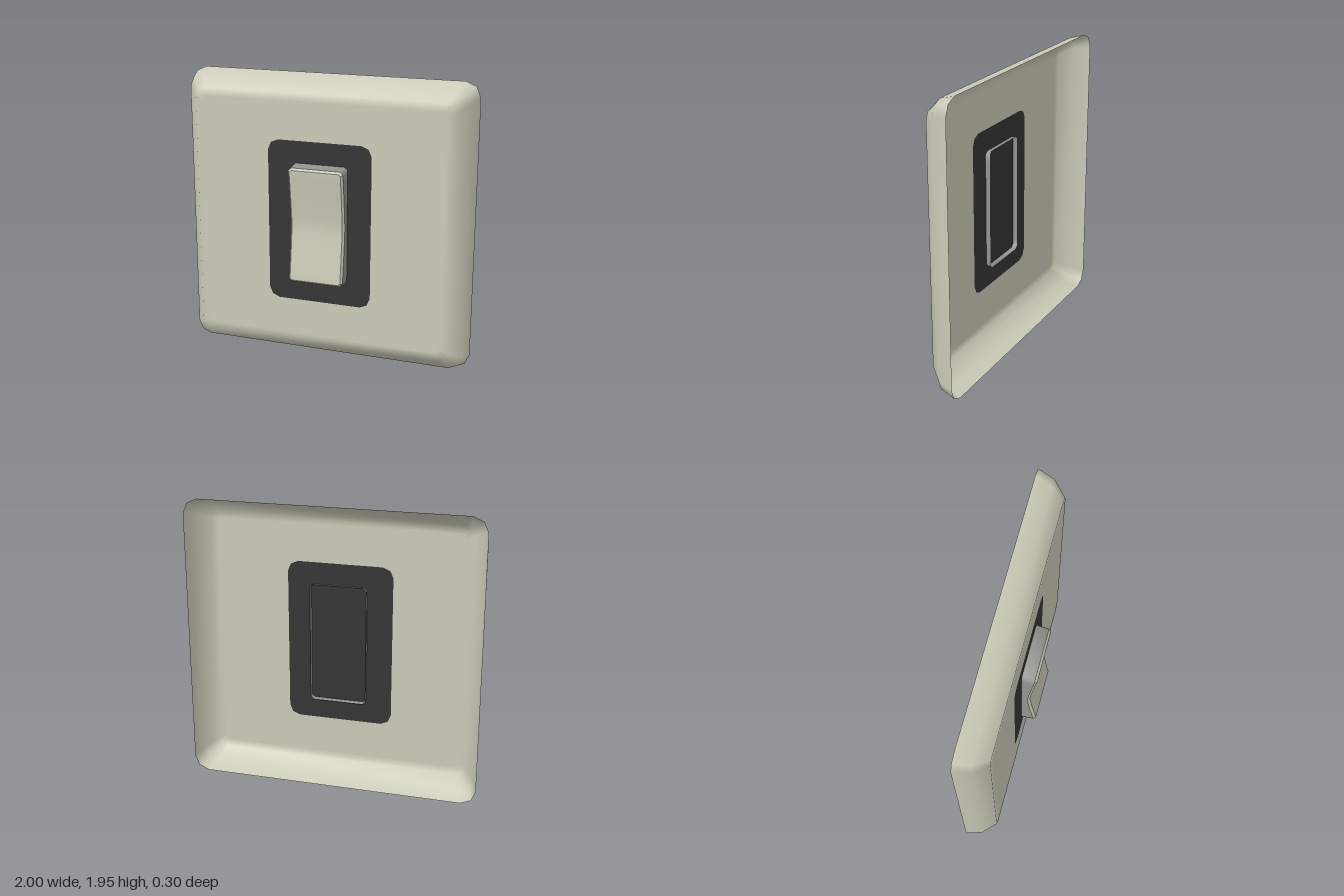
import * as THREE from 'three';
import { toCreasedNormals } from 'three/addons/utils/BufferGeometryUtils.js';

const CENTER_Y = 0.977;

// Rectangle with rounded (two-facet) corners, counter-clockwise seen from the front
function roundedOutline(hx, hy, r) {
  const quarter = [[hx, hy - r], [hx - 0.3 * r, hy - 0.3 * r], [hx - r, hy]];
  const flip = (sx, sy) => quarter.map(([x, y]) => new THREE.Vector2(sx * x, sy * y));
  return [...flip(1, 1), ...flip(-1, 1).reverse(), ...flip(-1, -1), ...flip(1, -1).reverse()];
}

// Skin between closed rings of equal length, ordered back to front;
// with cap, the last ring is bridged right to left
function loft(rings, cap = false) {
  const n = rings[0].length;
  const index = [];
  for (let i = 0; i < rings.length - 1; i++) {
    for (let j = 0; j < n; j++) {
      const a = i * n + j, b = i * n + (j + 1) % n;
      index.push(a, b, b + n, a, b + n, a + n);
    }
  }
  if (cap) {
    const base = (rings.length - 1) * n;
    for (let j = 0; j < n / 2 - 1; j++) {
      const r0 = base + j, r1 = r0 + 1, l0 = base + n - 1 - j, l1 = l0 - 1;
      index.push(r0, r1, l1, r0, l1, l0);
    }
  }
  const geometry = new THREE.BufferGeometry().setFromPoints(rings.flat());
  geometry.setIndex(index);
  geometry.computeVertexNormals();
  return geometry;
}

// Ring of the rocker: right side upward, then left side downward
function rockerRing(hx, hy, corner, zAt) {
  const rows = 16;
  const right = [];
  for (let i = 0; i <= rows; i++) {
    const t = -1 + (2 * i) / rows;
    right.push([hx, t * (hy - corner), t]);
  }
  right.unshift([hx - corner, -hy, -1]);
  right.push([hx - corner, hy, 1]);
  const left = right.map(([x, y, t]) => [-x, y, t]).reverse();
  return [...right, ...left].map(([x, y, t]) => new THREE.Vector3(x, y, zAt(t)));
}

export function createModel() {
  const cream = new THREE.MeshStandardMaterial({ color: 0xcbcbb8, side: THREE.DoubleSide });
  cream.name = 'cream plastic';
  const grey = new THREE.MeshStandardMaterial({ color: 0x959590, side: THREE.DoubleSide });
  grey.name = 'grey plastic';
  const black = new THREE.MeshStandardMaterial({ color: 0x353535, side: THREE.DoubleSide });
  black.name = 'black plastic';

  const model = new THREE.Group();
  model.name = 'wallSwitch';
  const add = (parent, name, geometry, material) => {
    const mesh = new THREE.Mesh(geometry, material);
    mesh.name = name;
    parent.add(mesh);
    return mesh;
  };

  // Cover plate: flared open-backed rim, [inset, corner, z] per ring
  const plate = new THREE.Group();
  plate.name = 'coverPlate';
  plate.position.y = CENTER_Y;
  model.add(plate);
  const rimRings = [[0, 0.1, -0.15], [0.03, 0.09, -0.04], [0.11, 0.06, 0.05], [0.165, 0.03, 0.05]]
    .map(([inset, r, z]) => roundedOutline(1 - inset, CENTER_Y - inset, r)
      .map((p) => new THREE.Vector3(p.x, p.y, z)));
  add(plate, 'plateRim', loft(rimRings), cream);

  // Flat front with an opening filled by the dark panel
  const opening = roundedOutline(0.36, 0.556, 0.07).map((p) => p.add(new THREE.Vector2(-0.01, -0.002)));
  const front = new THREE.Shape(roundedOutline(0.835, CENTER_Y - 0.165, 0.03));
  front.holes.push(new THREE.Path(opening));
  add(plate, 'plateFront', new THREE.ShapeGeometry(front), cream).position.z = 0.05;
  add(plate, 'darkPanel', new THREE.ShapeGeometry(new THREE.Shape(opening)), black).position.z = 0.05;

  // Rocker: hollow grey walls reaching behind the panel, concave cream face
  const rocker = new THREE.Group();
  rocker.name = 'rocker';
  rocker.position.set(-0.005, CENTER_Y - 0.002, 0);
  model.add(rocker);
  const faceZ = (t) => 0.105 + 0.045 * Math.pow(Math.abs(t), 1.2);
  const rimBack = rockerRing(0.193, 0.412, 0.02, () => 0.015);
  const rimFront = rockerRing(0.19, 0.394, 0.02, (t) => faceZ(t) - 0.015);
  const faceEdge = rockerRing(0.177, 0.38, 0.012, faceZ);
  add(rocker, 'rockerWalls', toCreasedNormals(loft([rimBack, rimFront]), 0.9), grey);
  add(rocker, 'rockerFace', toCreasedNormals(loft([rimFront, faceEdge], true), 0.6), cream);

  return model;
}
